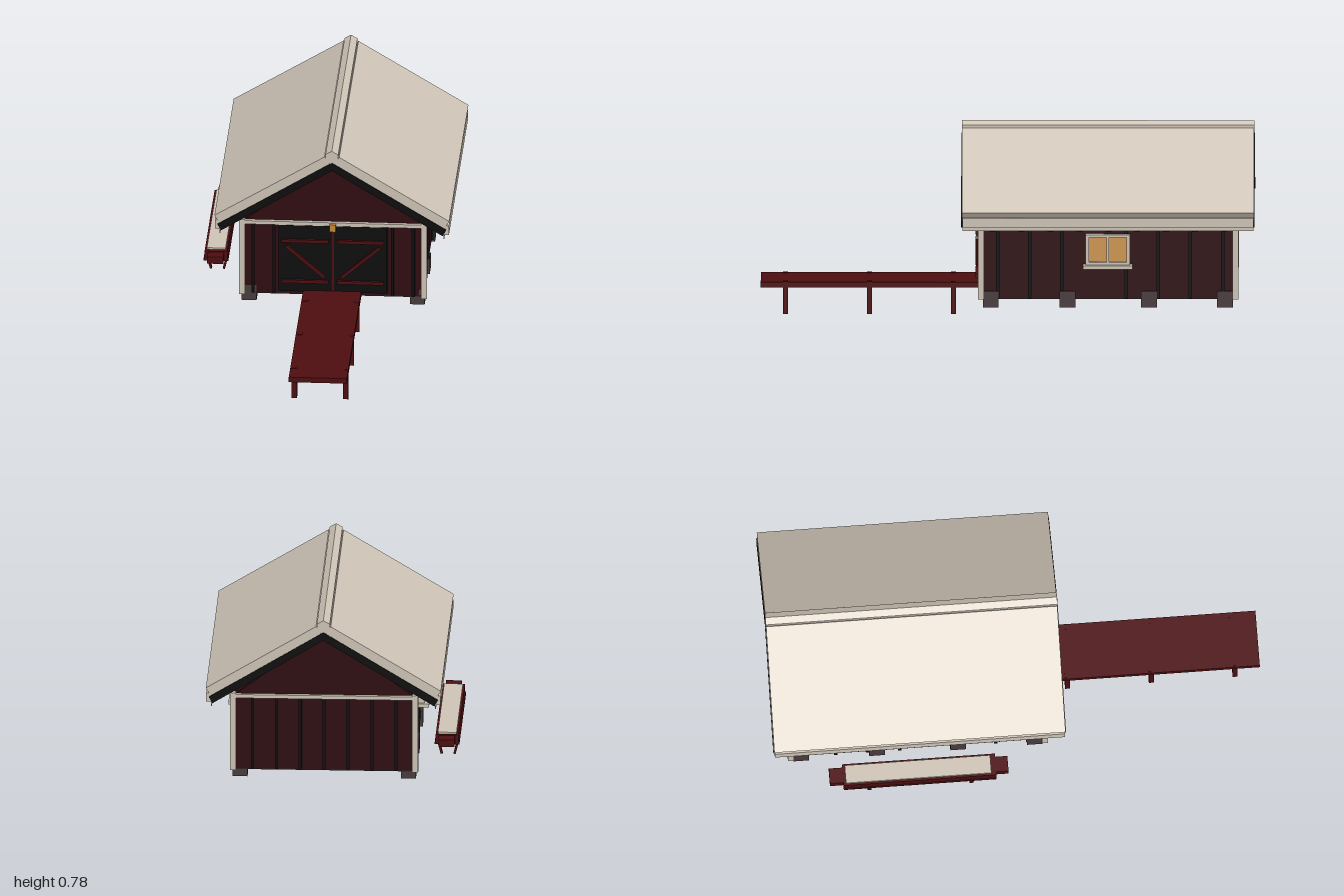
import * as THREE from 'three';

const paint = (name, hex) => {
  const m = new THREE.MeshStandardMaterial({ color: hex });
  m.name = name;
  return m;
};

export function createModel() {
  const wallRed = paint('wall red', 0x300c10);
  const red = paint('timber red', 0x4e0d10);
  const cream = paint('cream', 0xcfc5b7);
  const black = paint('black', 0x0d0d0d);
  const stone = paint('stone', 0x483c3e);
  const floorDark = paint('floor', 0x2b2424);
  const amber = paint('amber glass', 0xd09650);
  const brass = paint('lamp amber', 0xc48a3a);

  const model = new THREE.Group();
  model.name = 'boathouse';
  // The house is symmetric about its own centre, slightly off the model's
  const house = new THREE.Group();
  house.name = 'house';
  house.position.x = 0.031;
  model.add(house);

  // Box from its extents
  const box = (parent, name, mat, x0, x1, y0, y1, z0, z1) => {
    const m = new THREE.Mesh(new THREE.BoxGeometry(Math.abs(x1 - x0), y1 - y0, Math.abs(z1 - z0)), mat);
    m.position.set((x0 + x1) / 2, (y0 + y1) / 2, (z0 + z1) / 2);
    m.name = name;
    parent.add(m);
    return m;
  };
  // Front outline pulled from z0 to z1
  const prism = (parent, name, mat, pts, z0, z1) => {
    const shape = new THREE.Shape(pts.map(p => new THREE.Vector2(p[0], p[1])));
    const m = new THREE.Mesh(new THREE.ExtrudeGeometry(shape, { depth: z1 - z0, bevelEnabled: false }), mat);
    m.position.z = z0;
    m.name = name;
    parent.add(m);
    return m;
  };
  // Straight bar between two front points
  const bar = (parent, name, mat, a, b, w, z0, z1) => {
    const d = new THREE.Vector2(b[0] - a[0], b[1] - a[1]).setLength(w / 2);
    return prism(parent, name, mat, [[a[0] - d.y, a[1] + d.x], [b[0] - d.y, b[1] + d.x],
      [b[0] + d.y, b[1] - d.x], [a[0] + d.y, a[1] - d.x]], z0, z1);
  };

  const W = 0.361, F = 0.1, B = -0.915; // wall half width, front, back

  // Walls, floor and gables
  box(house, 'walls', wallRed, -W, W, 0.109, 0.43, B, F);
  box(house, 'floor', floorDark, -W, W, 0.105, 0.109, B, F);
  for (const z of [F - 0.02, B]) {
    prism(house, 'gable', wallRed, [[-W, 0.425], [W, 0.425], [0, 0.70]], z, z + 0.02);
  }

  // Front and back trim
  box(house, 'frontTrim', cream, -W, W, 0.415, 0.43, F, F + 0.016);
  box(house, 'backTrim', cream, -W, W, 0.415, 0.43, B - 0.016, B);

  // Wall battens
  for (const s of [-1, 1]) {
    for (const x of [0.24, 0.325]) {
      box(house, 'frontBatten', black, s * x - 0.006, s * x + 0.006, 0.109, 0.415, F, F + 0.008);
    }
    for (let i = 0; i < 8; i++) {
      const z = 0.04 - i * 0.13;
      if (i !== 3) box(house, 'sideBatten', black, s * W, s * (W + 0.008), 0.109, 0.43, z - 0.007, z + 0.007);
    }
  }
  for (let i = -3; i <= 3; i++) {
    box(house, 'backBatten', black, i * 0.097 - 0.006, i * 0.097 + 0.006, 0.109, 0.415, B - 0.008, B);
  }

  for (const s of [-1, 1]) {
    // Corner posts
    for (const [z0, z1] of [[F - 0.004, F + 0.02], [B - 0.02, B + 0.004]]) {
      box(house, 'cornerPost', cream, s * (W - 0.004), s * (W + 0.02), 0.107, 0.437, z0, z1);
    }
    // Foundation stones
    for (const z of [0.068, -0.243, -0.572, -0.88]) {
      box(house, 'foundationStone', stone, s * 0.311, s * 0.371, 0.073, 0.139, z - 0.032, z + 0.032);
    }

    // Side window
    const zc = -0.405;
    box(house, 'windowGlass', amber, s * W, s * (W + 0.012), 0.255, 0.367, zc - 0.08, zc + 0.08);
    for (const z of [-0.083, 0, 0.083]) {
      const h = z ? 0.007 : 0.005;
      box(house, 'windowUpright', cream, s * W, s * (W + 0.027), 0.25, 0.374, zc + z - h, zc + z + h);
    }
    for (const y of [0.25, 0.363]) {
      box(house, 'windowRail', cream, s * W, s * (W + 0.026), y, y + 0.011, zc - 0.083, zc + 0.083);
    }
    box(house, 'windowSill', cream, s * W, s * (W + 0.045), 0.235, 0.25, zc - 0.1, zc + 0.1);

    // Roof slab over a dark underside with barge edges
    const m = pts => pts.map(([x, y]) => [s * x, y]);
    prism(house, 'roofSlab', cream, m([[0.476, 0.48], [0.03, 0.75], [0.009, 0.718], [0.457, 0.447]]), -0.997, 0.185);
    prism(house, 'roofUnderside', black, m([[0.464, 0.442], [0, 0.725], [0, 0.691], [0.45, 0.415]]), -1, 0.188);

    // Eave fascia, drip edge and rafter tails
    box(house, 'fascia', cream, s * 0.455, s * 0.475, 0.42, 0.458, -0.995, 0.183);
    box(house, 'dripEdge', cream, s * 0.452, s * 0.456, 0.402, 0.425, -0.995, 0.183);
    for (let i = 0; i < 9; i++) {
      const z = 0.06 - i * 0.117;
      bar(house, 'rafterTail', red, [s * 0.441, 0.402], [s * 0.34, 0.456], 0.016, z - 0.012, z + 0.012);
    }

    // Door leaf with rails and brace
    box(house, 'doorLeaf', black, s * 0.004, s * 0.22, 0.125, 0.415, F, F + 0.018);
    for (const y of [0.35, 0.172]) {
      box(house, 'doorRail', red, s * 0.018, s * 0.207, y - 0.0065, y + 0.0065, F + 0.018, F + 0.03);
    }
    bar(house, 'doorBrace', red, [s * 0.19, 0.328], [s * 0.034, 0.193], 0.013, F + 0.018, F + 0.03);
  }
  box(house, 'doorCentreStrip', red, -0.004, 0.004, 0.125, 0.415, F, F + 0.022);

  // Ridge log
  const ridge = new THREE.Mesh(new THREE.CylinderGeometry(0.03, 0.03, 1.184, 6).toNonIndexed(), cream);
  ridge.geometry.computeVertexNormals();
  ridge.rotation.x = Math.PI / 2;
  ridge.position.set(0, 0.746, -0.406);
  ridge.name = 'ridgeLog';
  house.add(ridge);

  // Door lamp
  box(house, 'doorLamp', brass, -0.012, 0.012, 0.397, 0.428, F + 0.01, F + 0.035);

  // Ramp on three pairs of posts
  const ramp = new THREE.Group();
  ramp.name = 'ramp';
  model.add(ramp);
  box(ramp, 'rampDeck', red, -0.09, 0.146, 0.108, 0.13, 0.1, 1);
  for (const z of [0.9, 0.56, 0.22]) {
    for (const x of [-0.0735, 0.1345]) {
      box(ramp, 'rampPost', red, x - 0.011, x + 0.011, 0, 0.132, z - 0.01, z + 0.01);
    }
  }

  // Bench with a cushioned trough beside the house
  const bench = new THREE.Group();
  bench.name = 'bench';
  model.add(bench);
  box(bench, 'benchPlank', red, -0.508, -0.408, 0.155, 0.163, -0.72, -0.1);
  box(bench, 'benchBeam', red, -0.49, -0.425, 0.163, 0.193, -0.775, -0.05);
  box(bench, 'benchBody', red, -0.504, -0.412, 0.163, 0.196, -0.72, -0.1);
  box(bench, 'benchPad', cream, -0.496, -0.42, 0.196, 0.203, -0.71, -0.12);
  for (const z of [-0.2, -0.615]) {
    bar(bench, 'benchLeg', red, [-0.503, 0.157], [-0.484, 0.08], 0.009, z - 0.008, z + 0.008);
    bar(bench, 'benchLeg', red, [-0.413, 0.157], [-0.432, 0.08], 0.009, z - 0.008, z + 0.008);
  }

  return model;
}
